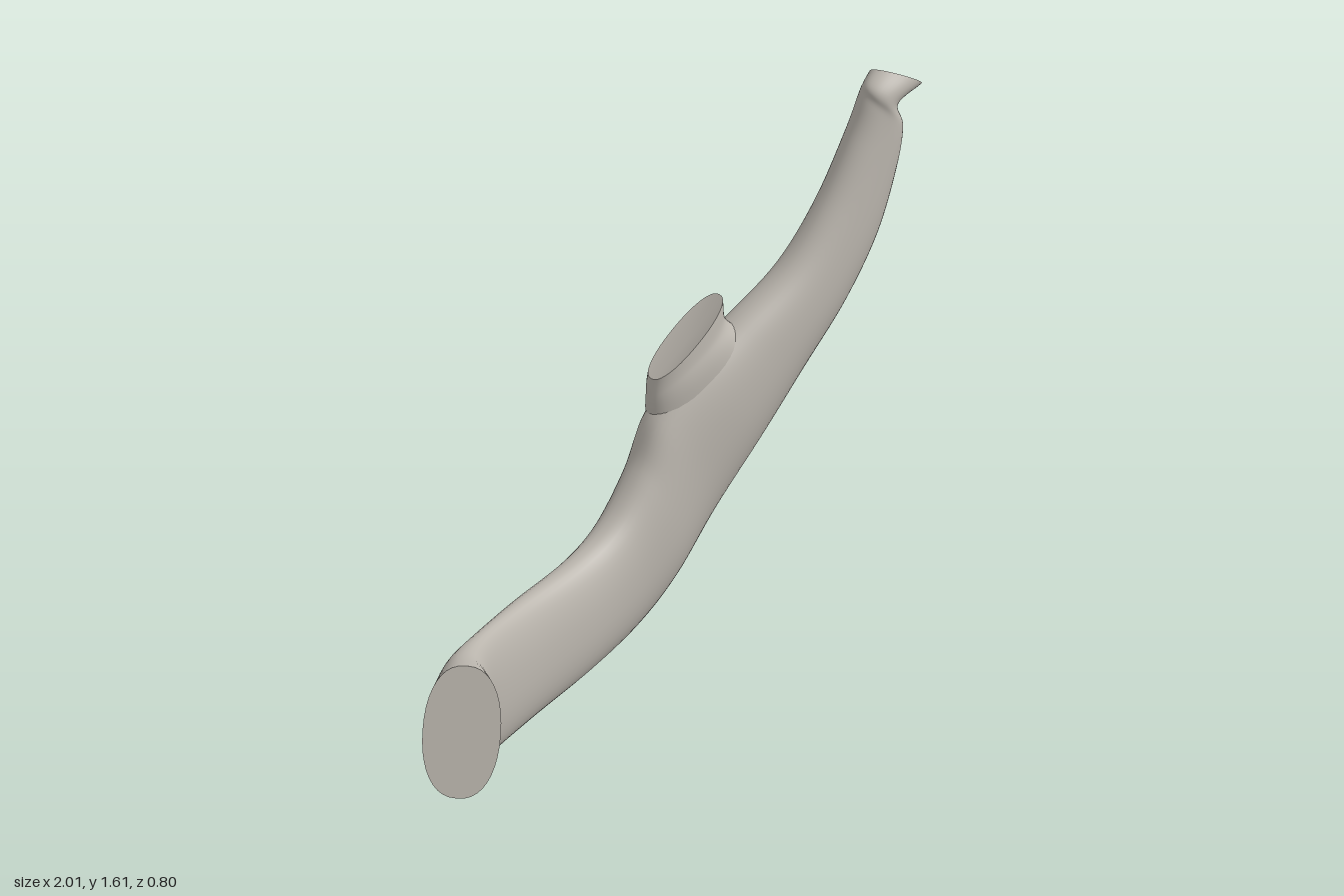
import * as THREE from 'three';

const bone = new THREE.MeshStandardMaterial({ color: 0xbab5ad });
bone.name = 'bone';

const SIDES = 40;

// Each section: upper edge point, lower edge point, half thickness
const bodySections = [
  [[-0.87, 0.42, 0.285], [-0.95, 0.06, 0.36], 0.11],
  [[-0.79, 0.395, 0.15], [-0.82, 0.02, 0.185], 0.08],
  [[-0.65, 0.375, 0.02], [-0.68, 0.0, 0.05], 0.058],
  [[-0.45, 0.38, -0.1], [-0.45, 0.02, -0.08], 0.065],
  [[-0.22, 0.415, -0.19], [-0.2, 0.07, -0.18], 0.076],
  [[-0.08, 0.48, -0.235], [0, 0.14, -0.25], 0.086],
  [[0.03, 0.61, -0.265], [0.15, 0.25, -0.28], 0.093],
  [[0.1, 0.75, -0.285], [0.3, 0.42, -0.3], 0.095],
  [[0.22, 0.87, -0.295], [0.46, 0.61, -0.3], 0.095],
  [[0.37, 0.965, -0.305], [0.6, 0.78, -0.305], 0.09],
  [[0.55, 1.09, -0.315], [0.74, 0.95, -0.31], 0.085],
  [[0.68, 1.25, -0.325], [0.85, 1.13, -0.31], 0.078],
  [[0.78, 1.43, -0.335], [0.92, 1.32, -0.31], 0.07],
  [[0.825, 1.54, -0.34], [0.94, 1.44, -0.3], 0.06],
  [[0.84, 1.57, -0.345], [0.92, 1.51, -0.29], 0.056],
  [[0.87, 1.6, -0.355], [1.0, 1.55, -0.295], 0.05],
];

// Short cut-off prong rising from the upper edge
const prongSections = [
  [[0.46, 0.93, -0.305], [0.1, 0.68, -0.295], 0.075],
  [[0.385, 0.955, -0.305], [0.1, 0.76, -0.3], 0.078],
  [[0.35, 0.99, -0.31], [0.105, 0.81, -0.305], 0.072],
  [[0.345, 1.05, -0.315], [0.112, 0.85, -0.305], 0.068],
];

// Rings of points swept through the sections
function makeRings(sections, steps) {
  const curve = (pick) => new THREE.CatmullRomCurve3(
    sections.map((s) => new THREE.Vector3(...pick(s))), false, 'catmullrom', 0.5);
  const upper = curve((s) => s[0]);
  const lower = curve((s) => s[1]);
  const half = curve((s) => [s[2], 0, 0]);
  const mid = (t) => upper.getPoint(t).add(lower.getPoint(t)).multiplyScalar(0.5);
  const rings = [];
  for (let i = 0; i <= steps; i++) {
    const t = i / steps;
    const c = mid(t);
    const a = upper.getPoint(t).sub(c);
    const along = mid(Math.min(1, t + 0.07)).sub(mid(Math.max(0, t - 0.07)));
    const b = a.clone().cross(along).normalize().multiplyScalar(half.getPoint(t).x);
    const ring = [];
    for (let j = 0; j < SIDES; j++) {
      const angle = (j / SIDES) * Math.PI * 2;
      const co = Math.cos(angle), si = Math.sin(angle);
      const u = Math.sign(co) * Math.abs(co) ** 0.92;
      const v = Math.sign(si) * Math.abs(si) ** 0.85;
      ring.push(c.clone().addScaledVector(a, u).addScaledVector(b, v));
    }
    rings.push(ring);
  }
  return rings;
}

function makeMesh(name, points, index) {
  const geometry = new THREE.BufferGeometry().setFromPoints(points);
  geometry.setIndex(index);
  geometry.computeVertexNormals();
  const mesh = new THREE.Mesh(geometry, bone);
  mesh.name = name;
  return mesh;
}

// Smooth skin joining the rings
function makeSkin(name, rings) {
  const index = [];
  for (let i = 0; i < rings.length - 1; i++) {
    for (let j = 0; j < SIDES; j++) {
      const k = (j + 1) % SIDES;
      const p = i * SIDES + j, q = i * SIDES + k;
      index.push(p, p + SIDES, q, q, p + SIDES, q + SIDES);
    }
  }
  return makeMesh(name, rings.flat(), index);
}

// Cut face closing one end, sunk slightly at its middle
function makeCap(name, ring, atEnd, sink = new THREE.Vector3()) {
  const centre = new THREE.Vector3();
  ring.forEach((p) => centre.addScaledVector(p, 1 / SIDES));
  centre.add(sink);
  const index = [];
  for (let j = 0; j < SIDES; j++) {
    const k = (j + 1) % SIDES;
    if (atEnd) index.push(SIDES, k, j);
    else index.push(SIDES, j, k);
  }
  return makeMesh(name, [...ring, centre], index);
}

export function createModel() {
  const group = new THREE.Group();
  group.name = 'curvedBone';

  // Long curved body with its two cut ends
  const body = makeRings(bodySections, 120);
  group.add(makeSkin('body', body));
  group.add(makeCap('frontCutFace', body[0], false));
  group.add(makeCap('topCutFace', body[body.length - 1], true));

  // Prong with a shallow dished face
  const prong = makeRings(prongSections, 24);
  group.add(makeSkin('prong', prong));
  group.add(makeCap('prongCutFace', prong[prong.length - 1], true, new THREE.Vector3(0.008, -0.012, 0)));

  return group;
}
